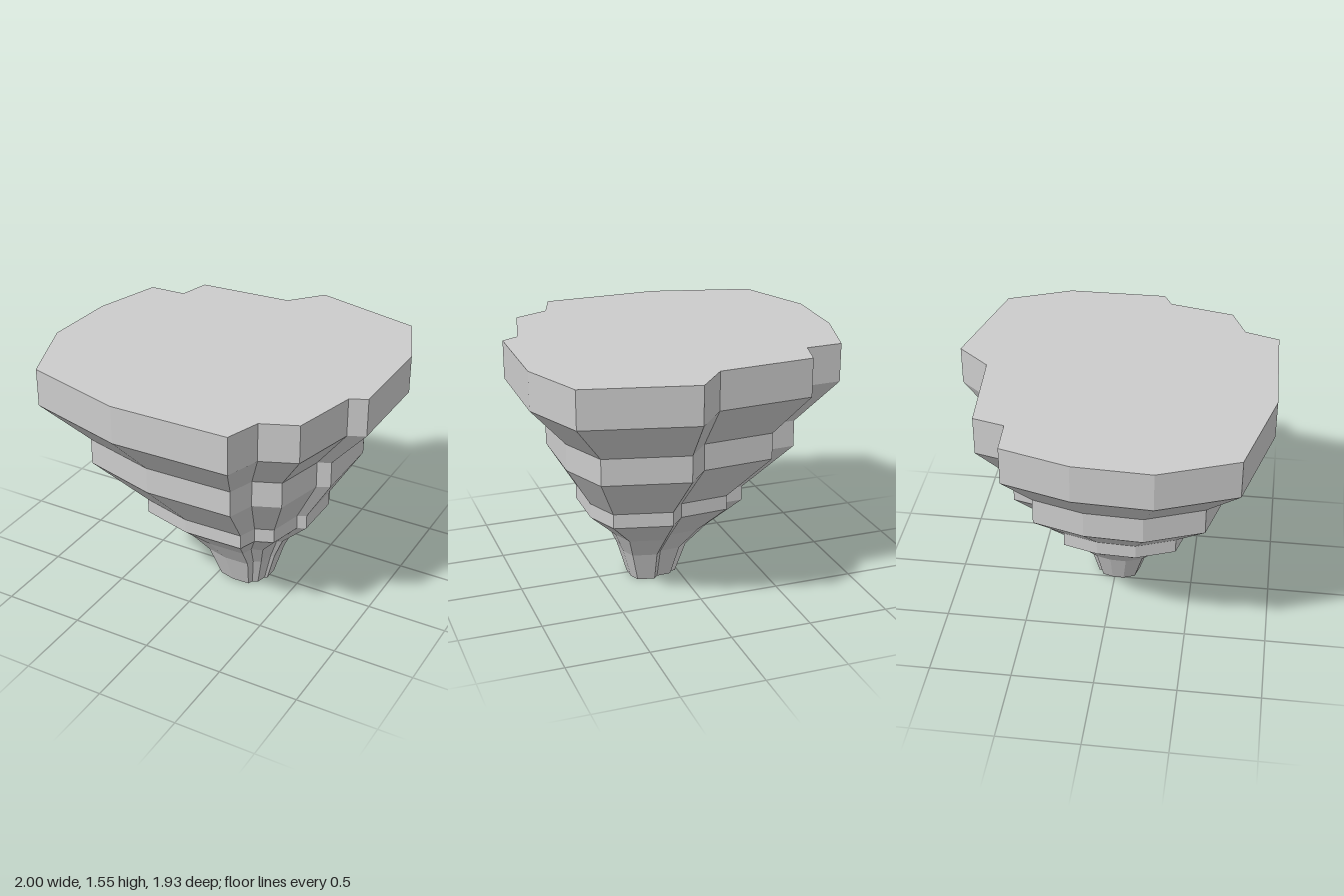
import * as THREE from 'three';

// Plan outline of the rock (x, z), clockwise seen from above
const OUTLINE = [
  [0.17, -0.965], [0.84, -0.8], [1, -0.41], [1, 0.2], [0.9, 0.25], [0.805, 0.65],
  [0.595, 0.74], [0.525, 0.95], [-0.2, 0.965], [-0.82, 0.8], [-1, 0.34],
  [-0.98, -0.12], [-0.86, -0.53], [-0.635, -0.54], [-0.585, -0.73], [0, -0.77],
];

// Height, scale, x shift and z shift of each terrace edge, bottom to top
const LEVELS = [
  [0, 0.155, 0.15, 0.005],
  [0.195, 0.218, 0.143, 0.007],
  [0.335, 0.316, 0.106, 0.005],
  [0.515, 0.515, 0.088, 0.005],
  [0.605, 0.515, 0.088, 0.005],
  [0.885, 0.755, 0.016, 0],
  [1.05, 0.755, 0.016, 0],
  [1.315, 1, 0, 0],
  [1.55, 1, 0, 0],
];

function mesh(name, triangles) {
  const geometry = new THREE.BufferGeometry().setFromPoints(triangles);
  geometry.computeVertexNormals();
  const material = new THREE.MeshStandardMaterial({ color: 0xcccccc, flatShading: true });
  const m = new THREE.Mesh(geometry, material);
  m.name = name;
  return m;
}

// Wall between two neighbouring rings
function band(lower, upper) {
  return lower.flatMap((a, i) => {
    const j = (i + 1) % lower.length;
    return [a, upper[i], upper[j], a, upper[j], lower[j]];
  });
}

// Flat end across a ring, facing up (+1) or down (-1)
function cap(ring, direction) {
  const flat = ring.map((p) => new THREE.Vector2(p.x, p.z));
  return THREE.ShapeUtils.triangulateShape(flat, []).flatMap(([i, j, k]) => {
    const [a, b, c] = [ring[i], ring[j], ring[k]];
    const normalY = (b.z - a.z) * (c.x - a.x) - (b.x - a.x) * (c.z - a.z);
    return normalY * direction > 0 ? [a, b, c] : [a, c, b];
  });
}

export function createModel() {
  const group = new THREE.Group();
  group.name = 'floatingRock';

  const rings = LEVELS.map(([y, s, dx, dz]) =>
    OUTLINE.map(([x, z]) => new THREE.Vector3(x * s + dx, y, z * s + dz)));

  // Alternating slopes and upright ledges
  const names = ['stem', 'lowerFlare', 'lowerSlope', 'lowerLedge', 'middleSlope',
    'middleLedge', 'upperSlope', 'topLedge'];
  names.forEach((name, i) => group.add(mesh(name, band(rings[i], rings[i + 1]))));

  // Level ground on top and the small foot
  group.add(mesh('topSurface', cap(rings[rings.length - 1], 1)));
  group.add(mesh('foot', cap(rings[0], -1)));
  return group;
}
